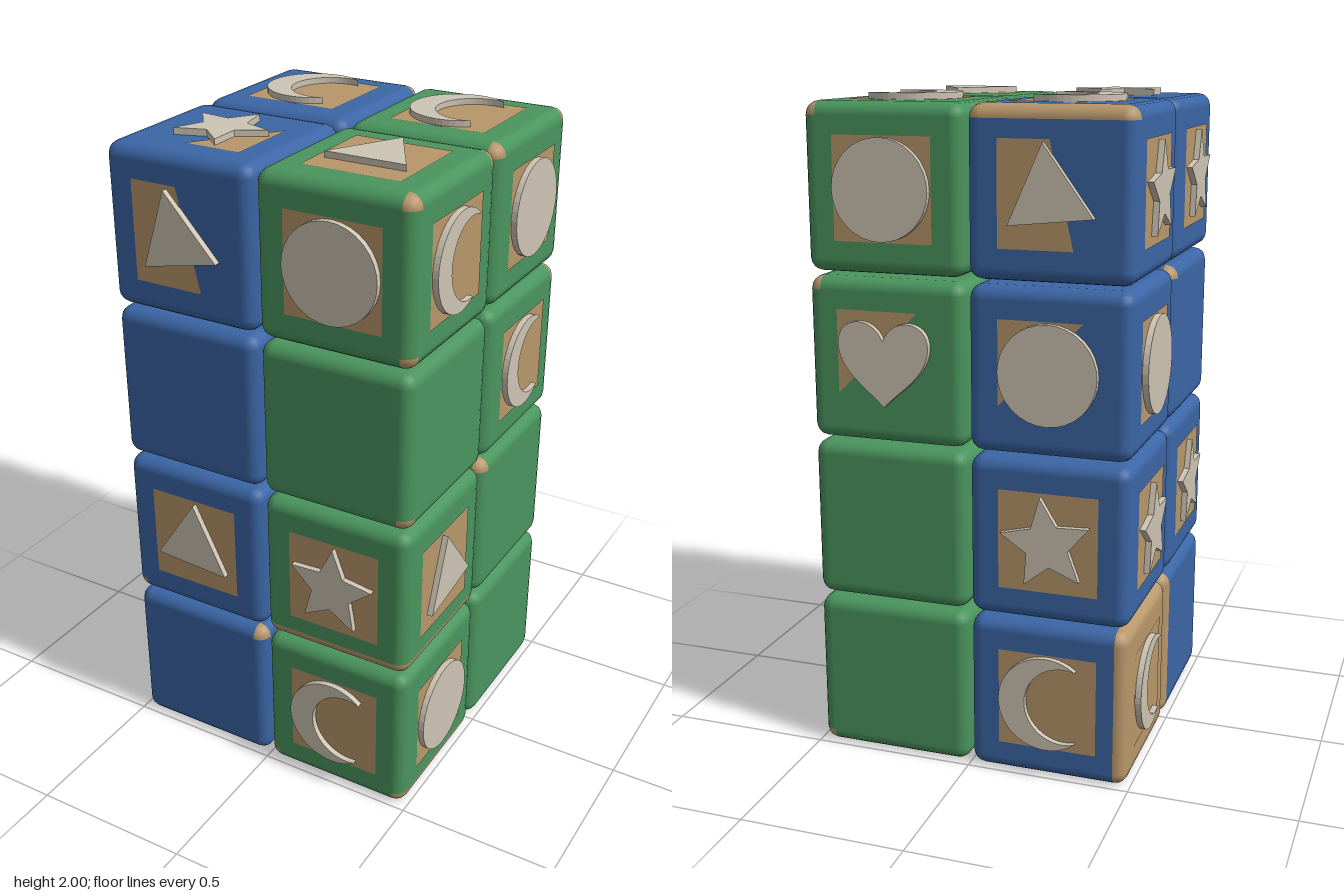
import * as THREE from 'three';
import { RoundedBoxGeometry } from 'three/addons/geometries/RoundedBoxGeometry.js';

const mat = (name, color, side = THREE.FrontSide) => {
  const m = new THREE.MeshStandardMaterial({ color, side });
  m.name = name;
  return m;
};
const SIZE = 0.485, HALF = SIZE / 2, ROUND = 0.04, THICK = 0.02;

// ---- raised symbols, each about 0.29 across ----
function polygon(n, radius, inner) {
  const pts = [], steps = inner ? n * 2 : n;
  for (let i = 0; i < steps; i++) {
    const a = Math.PI / 2 + (i / steps) * Math.PI * 2;
    const r = inner && i % 2 ? inner : radius;
    pts.push(new THREE.Vector2(Math.cos(a) * r, Math.sin(a) * r));
  }
  return new THREE.Shape(pts);
}
function crescent() {
  const s = new THREE.Shape(), cx = 0.055, r = 0.12;
  const a = Math.atan2(0.115, 0.09), b = Math.atan2(0.115, 0.09 - cx);
  s.absarc(0, 0, 0.146, a, Math.PI * 2 - a, false);
  s.absarc(cx, 0, r, Math.PI * 2 - b, b, true);
  return s;
}
function heart() {
  const s = new THREE.Shape();
  s.moveTo(0, -0.13);
  s.bezierCurveTo(0.05, -0.075, 0.14, -0.03, 0.14, 0.055);
  s.bezierCurveTo(0.14, 0.135, 0.03, 0.145, 0, 0.065);
  s.bezierCurveTo(-0.03, 0.145, -0.14, 0.135, -0.14, 0.055);
  s.bezierCurveTo(-0.14, -0.03, -0.05, -0.075, 0, -0.13);
  return s;
}
const symbols = {
  circle: polygon(32, 0.146),
  triangle: polygon(3, 0.143),
  star: polygon(5, 0.142, 0.066),
  moon: crescent(),
  heart: heart(),
};

// ---- bare wood panels behind the symbols ----
const panels = {
  full: [[-0.15, -0.15], [0.15, -0.15], [0.15, 0.15], [-0.15, 0.15]],
  slanted: [[-0.15, -0.15], [0.07, -0.15], [0, 0.15], [-0.15, 0.15]],
  lowerRight: [[-0.03, -0.15], [0.15, -0.15], [0.15, 0.09]],
  upperLeft: [[-0.15, -0.1], [0.1, 0.15], [-0.15, 0.15]],
};

// rotation that turns a +z face to each side
const turns = {
  front: [0, 0, 0], left: [0, Math.PI / 2, 0], back: [0, Math.PI, 0],
  right: [0, -Math.PI / 2, 0], top: [-Math.PI / 2, 0, 0],
};

// x sign, z sign, level, faces {side: [symbol, degrees, panel]}, worn corners / edges / sides
const blocks = [
  [1, 1, 0, { front: ['moon', -4], left: ['circle'] }, [[-1, -1, 1], [1, -1, 0]]],
  [1, 1, 1, { front: ['star', -3], left: ['triangle', 9] }, [[0, -1, 1], [1, -1, 0]]],
  [1, 1, 2, {}, [[1, -1, 1]]],
  [1, 1, 3, { front: ['circle'], left: ['moon', -8], top: ['triangle'] },
    [[1, 1, 1], [1, -1, 1], [1, 1, -1]]],
  [1, -1, 0, {}, [[1, -1, -1]]],
  [1, -1, 1, {}, [[1, 1, 1]]],
  [1, -1, 2, { left: ['moon'], back: ['heart', 0, 'upperLeft'] }, [[1, 1, -1]]],
  [1, -1, 3, { left: ['circle'], back: ['circle'], top: ['moon'] }, [[1, 1, -1], [1, 1, 1]]],
  [-1, 1, 0, {}, [[1, 1, 1], [-1, 0, -1]]],
  [-1, 1, 1, { front: ['triangle', -4], right: ['star', 4] }, [[-1, -1, 1]]],
  [-1, 1, 2, {}, [[-1, 1, -1]]],
  [-1, 1, 3, { front: ['triangle', 12, 'slanted'], right: ['star', 4], top: ['star', -12, 'lowerRight'] }, []],
  [-1, -1, 0, { back: ['moon'], right: ['moon', -4] }, [[-1, 0, 0]]],
  [-1, -1, 1, { back: ['star', 8], right: ['star', 4] }, []],
  [-1, -1, 2, { back: ['circle', 0, 'upperLeft'], right: ['circle'] }, []],
  [-1, -1, 3, { back: ['triangle', 6, 'slanted'], right: ['star', 4], top: ['moon', 2] }, [[0, 1, -1]]],
];

// rounded cube whose worn triangles use the second material
function cubeGeometry(worn) {
  const g = new RoundedBoxGeometry(SIZE, SIZE, SIZE, 2, ROUND);
  const p = g.attributes.position, limit = HALF - ROUND + 0.001;
  g.clearGroups();
  let start = 0, last = -1;
  for (let i = 0; i < p.count; i += 3) {
    const c = [0, 0, 0];
    for (let k = i; k < i + 3; k++) {
      c[0] += p.getX(k) / 3;
      c[1] += p.getY(k) / 3;
      c[2] += p.getZ(k) / 3;
    }
    const bare = worn.some((w) => w.every((s, a) => s === 0 || c[a] * s > limit)) ? 1 : 0;
    if (last >= 0 && bare !== last) {
      g.addGroup(start, i - start, last);
      start = i;
    }
    last = bare;
  }
  g.addGroup(start, p.count - start, last);
  return g;
}

export function createModel() {
  const blue = mat('blue paint', 0x3b66a6);
  const green = mat('green paint', 0x4a955e);
  const wood = mat('bare wood', 0xb8976a);
  const cream = mat('cream symbol', 0xcdc4b3);

  const model = new THREE.Group();
  model.name = 'blockStack';

  for (const [sx, sz, level, faces, worn] of blocks) {
    const block = new THREE.Group();
    block.name = 'block';
    block.position.set(sx * 0.247, 0.247 + level * 0.497, sz * 0.248);

    const cube = new THREE.Mesh(cubeGeometry(worn), [sx > 0 ? green : blue, wood]);
    cube.name = 'cube';
    block.add(cube);

    for (const [side, [symbol, degrees = 0, panel = 'full']] of Object.entries(faces)) {
      const face = new THREE.Group();
      face.name = side + 'Face';
      face.rotation.set(...turns[side]);

      const outline = new THREE.Shape(panels[panel].map(([x, y]) => new THREE.Vector2(x, y)));
      const plate = new THREE.Mesh(new THREE.ShapeGeometry(outline), wood);
      plate.name = 'woodPanel';
      plate.position.z = HALF + 0.002;

      const raised = new THREE.Mesh(
        new THREE.ExtrudeGeometry(symbols[symbol], { depth: THICK, bevelEnabled: false, curveSegments: 16 }),
        cream
      );
      raised.name = symbol;
      raised.position.z = HALF;
      raised.rotation.z = THREE.MathUtils.degToRad(degrees);

      face.add(plate, raised);
      block.add(face);
    }
    model.add(block);
  }
  return model;
}
